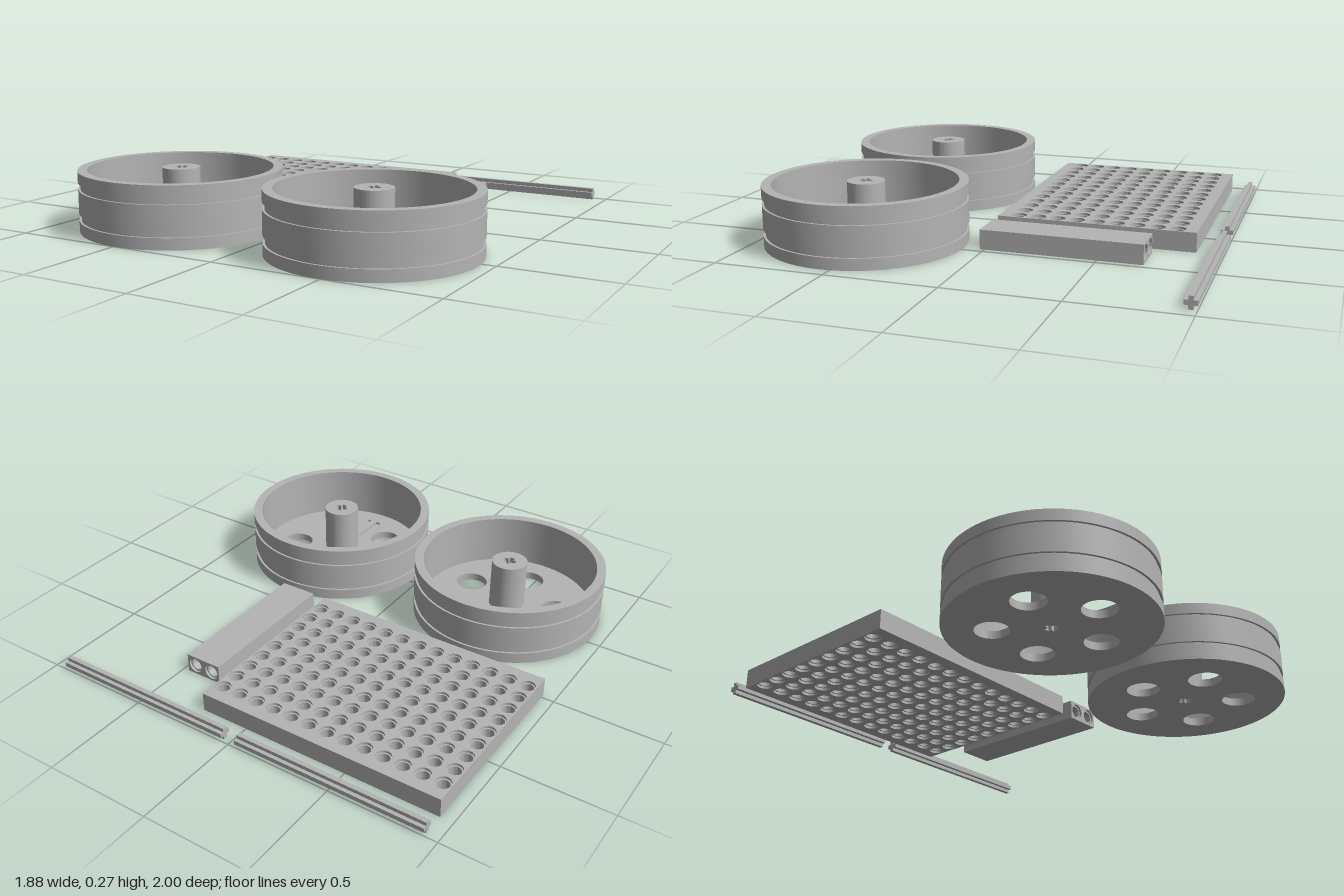
import * as THREE from 'three';
import { toCreasedNormals } from 'three/addons/utils/BufferGeometryUtils.js';

const PITCH = 0.0907;      // hole spacing
const BAR = 0.0885;        // thickness of plate and beam
const BORE = 0.028, RECESS = 0.035, LIP = 0.011;

const grey = new THREE.MeshStandardMaterial({ color: 0xb4b4b4 });
grey.name = 'light grey';

const mesh = (name, geometry) => {
  const m = new THREE.Mesh(toCreasedNormals(geometry, 0.6), grey);
  m.name = name;
  return m;
};

const circle = (r, x = 0, y = 0) => new THREE.Path().absarc(x, y, r, 0, Math.PI * 2);

const disc = (r) => new THREE.Shape().absarc(0, 0, r, 0, Math.PI * 2);

const polygon = (pts) => new THREE.Shape(pts.map(([x, y]) => new THREE.Vector2(x, y)));

// plus-shaped outline, arm length a, half thickness t
const cross = (a, t) => polygon([
  [a, -t], [a, t], [t, t], [t, a], [-t, a], [-t, t],
  [-a, t], [-a, -t], [-t, -t], [-t, -a], [t, -a], [t, -t],
]);

const rectangle = (w, h) => polygon([
  [-w / 2, -h / 2], [w / 2, -h / 2], [w / 2, h / 2], [-w / 2, h / 2],
]);

const extrude = (shape, depth, curveSegments = 20) =>
  new THREE.ExtrudeGeometry(shape, { depth, curveSegments, bevelEnabled: false });

// extrusion standing up along y
const upright = (shape, height, segments) => extrude(shape, height, segments).rotateX(-Math.PI / 2);

// block along z with through holes that widen at both ends
function drilledBlock(name, w, h, depth, centres) {
  const group = new THREE.Group();
  group.name = name;
  const layers = [[0, LIP, RECESS], [LIP, depth - 2 * LIP, BORE], [depth - LIP, LIP, RECESS]];
  for (const [start, d, r] of layers) {
    const shape = rectangle(w, h);
    shape.holes = centres.map(([x, y]) => circle(r, x, y));
    const layer = mesh(name + 'Layer', extrude(shape, d, 18));
    layer.position.z = start;
    group.add(layer);
  }
  return group;
}

function createWheel(name) {
  const wheel = new THREE.Group();
  wheel.name = name;
  const R = 0.453, G = 0.443, IN = 0.411, H = 0.272, FLOOR = 0.036, HUB = 0.084;

  // grooved rim
  const profile = [
    [IN, 0], [R, 0], [R, 0.052], [G, 0.052], [G, 0.084], [R, 0.084],
    [R, 0.19], [G, 0.19], [G, 0.221], [R, 0.221], [R, H], [IN, H], [IN, 0],
  ].map(([x, y]) => new THREE.Vector2(x, y));
  wheel.add(mesh('rim', new THREE.LatheGeometry(profile, 96)));

  // floor with five round openings
  const floor = disc(IN);
  floor.holes.push(circle(HUB));
  for (let i = 0; i < 5; i++) {
    const a = -Math.PI / 2 + i * Math.PI * 0.4;
    floor.holes.push(circle(0.075, Math.cos(a) * 0.244, Math.sin(a) * 0.244));
  }
  wheel.add(mesh('floor', upright(floor, FLOOR, 96)));

  // hub with cross-shaped axle hole
  const hub = disc(HUB);
  hub.holes.push(cross(0.029, 0.012));
  wheel.add(mesh('hub', upright(hub, H, 48)));

  // raised direction arrow
  const arrow = polygon([
    [-0.016, 0.097], [0.016, 0.097], [0.016, 0.31], [0.037, 0.31],
    [0, 0.375], [-0.037, 0.31], [-0.016, 0.31],
  ]);
  const arrowMesh = mesh('arrow', upright(arrow, 0.011));
  arrowMesh.position.y = FLOOR;
  wheel.add(arrowMesh);
  return wheel;
}

export function createModel() {
  const model = new THREE.Group();
  model.name = 'constructionParts';

  // pair of wheels, one turned half way round
  for (const side of [-1, 1]) {
    const wheel = createWheel(side < 0 ? 'rightWheel' : 'leftWheel');
    wheel.position.set(side * 0.487, 0, 0.546);
    if (side > 0) wheel.rotation.y = Math.PI;
    model.add(wheel);
  }

  // perforated plate
  const grid = [];
  for (let i = -6; i <= 6; i++) {
    for (let j = -4; j <= 4; j++) grid.push([i * PITCH, j * PITCH]);
  }
  const plate = drilledBlock('plate', 1.17, 0.9, BAR, grid);
  plate.rotation.x = -Math.PI / 2;
  plate.position.set(-0.356, 0, -0.43);
  model.add(plate);

  // beam with two lengthwise holes
  const beam = drilledBlock('beam', 0.177, BAR, 0.72, [[-PITCH / 2, 0], [PITCH / 2, 0]]);
  beam.position.set(0.383, BAR / 2, -0.7);
  model.add(beam);

  // cross-section axles
  for (const side of [-1, 1]) {
    const geometry = extrude(cross(0.027, 0.01), 0.904).translate(0, 0, -0.452).rotateY(Math.PI / 2);
    const axle = mesh(side < 0 ? 'rightAxle' : 'leftAxle', geometry);
    axle.position.set(side * 0.487, 0.027, -0.973);
    model.add(axle);
  }
  return model;
}
